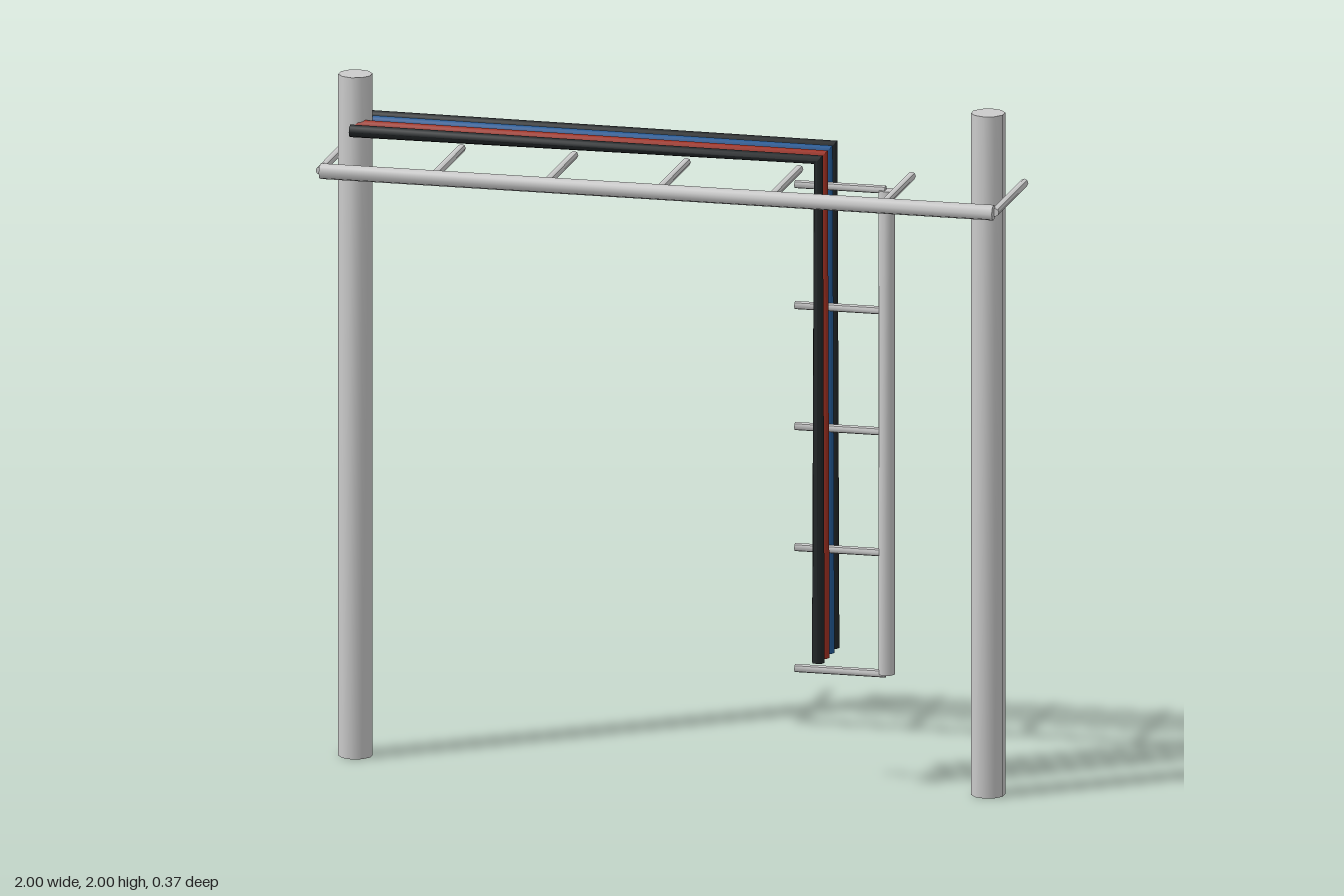
import * as THREE from 'three';
import { toCreasedNormals } from 'three/addons/utils/BufferGeometryUtils.js';

const grey = new THREE.MeshStandardMaterial({ color: 0xcccccc });
const AXIS_Z = -0.015;   // plane of the posts and the hanging ladder

// Straight round bar between two points
function bar(name, from, to, radius, sides = 8) {
  const a = new THREE.Vector3(...from), b = new THREE.Vector3(...to);
  const geometry = new THREE.CylinderGeometry(radius, radius, a.distanceTo(b), sides);
  const mesh = new THREE.Mesh(toCreasedNormals(geometry, 0.9), grey);
  mesh.name = name;
  mesh.position.copy(a).add(b).multiplyScalar(0.5);
  mesh.quaternion.setFromUnitVectors(new THREE.Vector3(0, 1, 0), b.sub(a).normalize());
  return mesh;
}

// Cable that runs along the rack, then drops down: three rings, the middle one at the bend
function cable(name, z, color) {
  const geometry = new THREE.CylinderGeometry(0.0185, 0.0185, 2, 8, 2);
  const s = Math.SQRT1_2;
  const rings = [
    { x: 0.45, y: 0.38, nx: 1, ny: 0 },     // lower end
    { x: 0.45, y: 1.855, nx: s, ny: s },    // bend
    { x: -0.92, y: 1.855, nx: 0, ny: 1 },   // far end
  ];
  const p = geometry.attributes.position;
  for (let i = 0; i < p.count; i++) {
    const r = rings[Math.round(p.getY(i)) + 1];
    const n = p.getX(i);
    p.setXYZ(i, r.x + r.nx * n, r.y + r.ny * n, z + p.getZ(i));
  }
  const mesh = new THREE.Mesh(toCreasedNormals(geometry, 0.9),
    new THREE.MeshStandardMaterial({ color }));
  mesh.name = name;
  return mesh;
}

export function createModel() {
  const model = new THREE.Group();
  model.name = 'cableRack';

  // Two upright posts
  for (const [side, x] of [['right', -0.927], ['left', 0.925]])
    model.add(bar(side + 'Post', [x, 0, AXIS_Z], [x, 2, AXIS_Z], 0.049, 10));

  // Horizontal one-sided ladder across the posts
  const tray = new THREE.Group();
  tray.name = 'horizontalLadder';
  tray.add(bar('ladderRail', [-0.985, 1.755, 0.163], [0.985, 1.755, 0.163], 0.023));
  for (let i = 0; i < 7; i++) {
    const x = -0.988 + i * 0.3293;
    tray.add(bar('ladderRung', [x, 1.755, -0.188], [x, 1.755, 0.16], 0.012));
  }
  model.add(tray);

  // Vertical one-sided ladder hanging below
  const drop = new THREE.Group();
  drop.name = 'verticalLadder';
  drop.add(bar('ladderRail', [0.628, 0.335, AXIS_Z], [0.628, 1.755, AXIS_Z], 0.024));
  for (let i = 0; i < 5; i++) {
    const y = 0.336 + i * 0.355;
    drop.add(bar('ladderRung', [0.36, y, AXIS_Z], [0.625, y, AXIS_Z], 0.012));
  }
  model.add(drop);

  // Four cables, front to back
  const cables = new THREE.Group();
  cables.name = 'cables';
  cables.add(
    cable('frontBlackCable', 0.074, 0x222628),
    cable('redCable', 0.015, 0xa03022),
    cable('blueCable', -0.043, 0x235a96),
    cable('backBlackCable', -0.1, 0x222628),
  );
  model.add(cables);
  return model;
}
